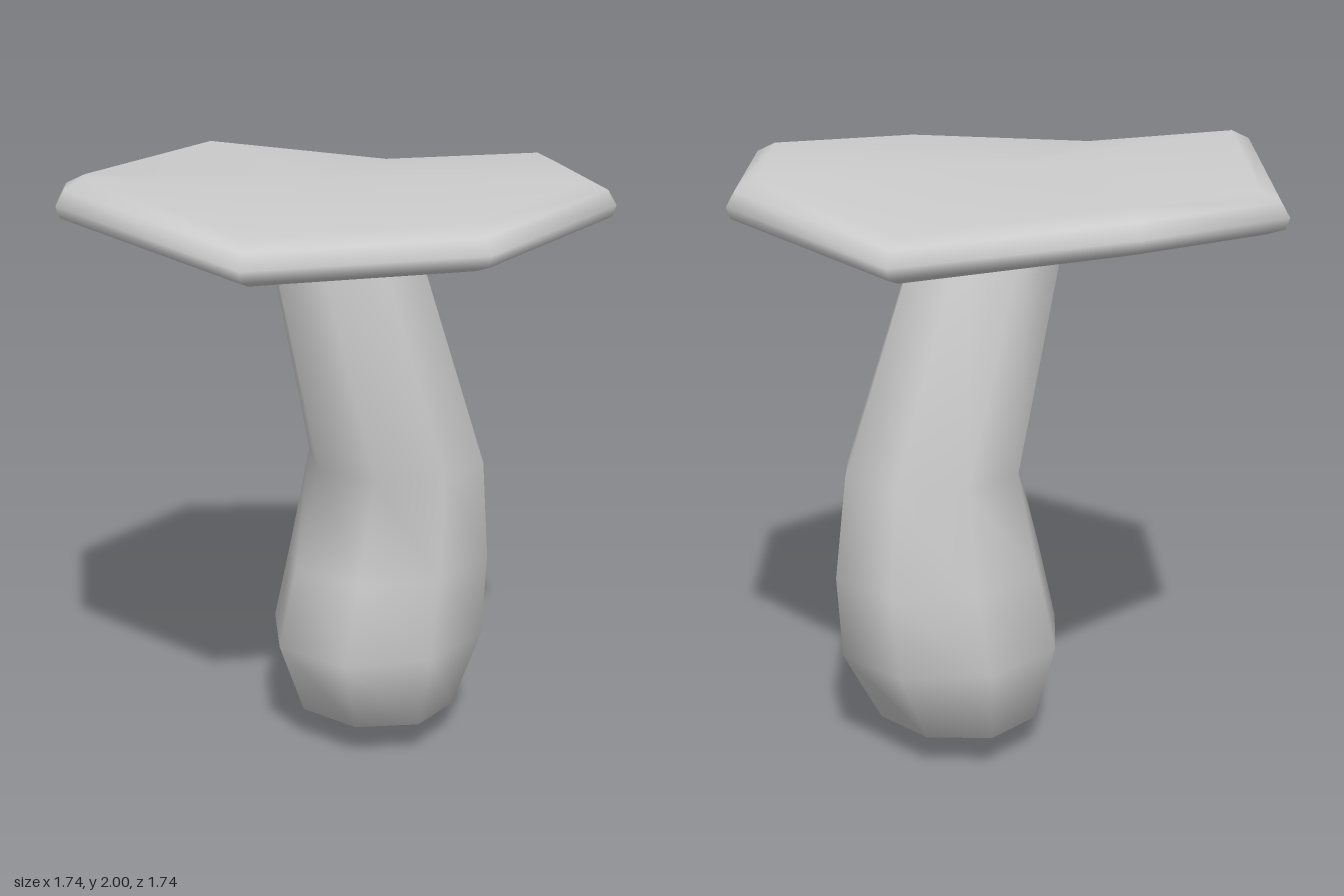
import * as THREE from 'three';
import { mergeVertices } from 'three/addons/utils/BufferGeometryUtils.js';

const SIDES = 8;
const TURN = THREE.MathUtils.degToRad(15);

// Skins a stack of octagonal rings from bottom to top; pointAt(ring, side, cos, sin) gives [x, y, z].
function loft(rings, pointAt) {
  const positions = [];
  const index = [];
  rings.forEach((ring, i) => {
    for (let j = 0; j < SIDES; j++) {
      const a = TURN + (j / SIDES) * Math.PI * 2;
      positions.push(...pointAt(ring, j, Math.cos(a), Math.sin(a)));
      if (i === rings.length - 1) continue;
      const k = (j + 1) % SIDES;
      const low = i * SIDES, up = low + SIDES;
      if (ring.r > 0) index.push(low + j, up + k, low + k);
      if (rings[i + 1].r > 0) index.push(low + j, up + j, up + k);
    }
  });
  const geometry = new THREE.BufferGeometry();
  geometry.setAttribute('position', new THREE.Float32BufferAttribute(positions, 3));
  geometry.setIndex(index);
  const merged = mergeVertices(geometry, 1e-4);
  merged.computeVertexNormals();
  return merged;
}

export function createModel() {
  const group = new THREE.Group();
  const material = new THREE.MeshStandardMaterial({ color: 0xcccccc });

  // Bent, bulbous stem: ring centre, height and half extents
  const stemRings = [
    { x: 0.04, y: 0, z: -0.18, r: 0, rz: 0 },
    { x: 0.05, y: 0.125, z: -0.175, r: 0.28, rz: 0.26 },
    { x: 0.05, y: 0.38, z: -0.195, r: 0.34, rz: 0.375 },
    { x: 0.065, y: 0.65, z: -0.23, r: 0.32, rz: 0.352 },
    { x: 0.08, y: 0.985, z: -0.245, r: 0.29, rz: 0.285 },
    { x: 0.03, y: 1.83, z: -0.005, r: 0.225, rz: 0.24 },
    { x: 0.03, y: 1.86, z: 0, r: 0, rz: 0 },
  ];
  const stretch = 1 / Math.cos(TURN);
  const stem = new THREE.Mesh(
    loft(stemRings, (s, j, c, n) => [s.x + s.r * stretch * c, s.y, s.z + s.rz * stretch * n]),
    material,
  );
  stem.name = 'stem';
  group.add(stem);

  // Wavy octagonal cap: rounded rim profile, with a middle height for each corner
  const cornerHeights = [1.86, 1.835, 1.935, 1.845, 1.88, 1.805, 1.885, 1.9];
  const middle = 1.875;
  const capRings = [
    { r: 0, dy: -0.065 },
    { r: 0.83, dy: -0.065 },
    { r: 0.89, dy: -0.045 },
    { r: 0.902, dy: -0.01 },
    { r: 0.875, dy: 0.035 },
    { r: 0.81, dy: 0.065 },
    { r: 0, dy: 0.065 },
  ];
  const cap = new THREE.Mesh(
    loft(capRings, (s, j, c, n) => [s.r * c, (s.r > 0 ? cornerHeights[j] : middle) + s.dy, s.r * n]),
    material,
  );
  cap.name = 'cap';
  group.add(cap);

  return group;
}
